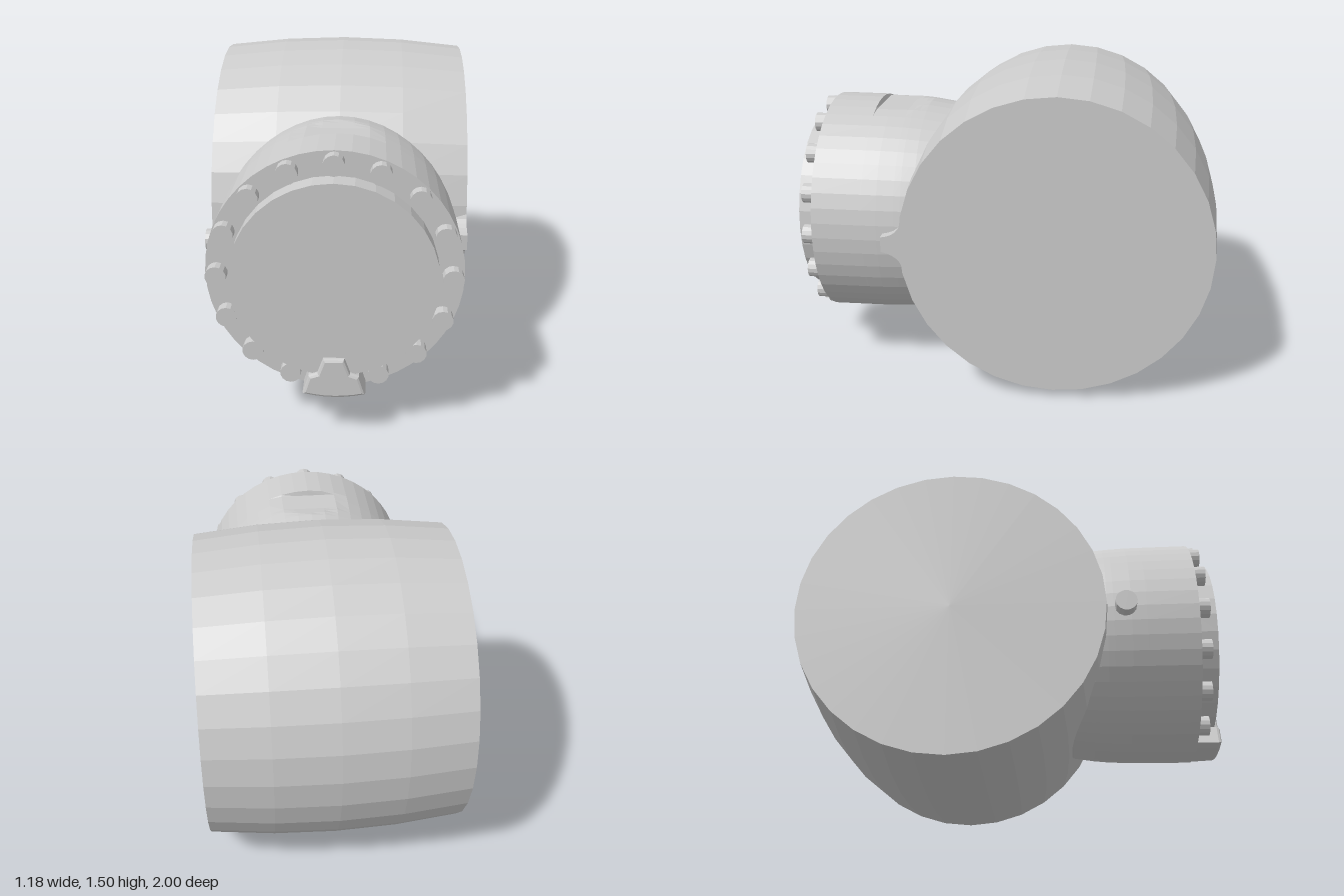
import * as THREE from 'three';

const CY = 0.755; // height of every main axis
const mat = new THREE.MeshStandardMaterial({ color: 0xcccccc, flatShading: true });

function add(parent, name, geometry) {
  const mesh = new THREE.Mesh(geometry, mat);
  mesh.name = name;
  parent.add(mesh);
  return mesh;
}

// Lathe around y from [radius, position] pairs
const lathe = (pairs, segments) =>
  new THREE.LatheGeometry(pairs.map(([r, p]) => new THREE.Vector2(r, p)), segments);

// Cylinder lying along z between two z values
function zCylinder(radius, z0, z1, segments) {
  return new THREE.CylinderGeometry(radius, radius, z1 - z0, segments)
    .rotateX(Math.PI / 2).translate(0, 0, (z0 + z1) / 2);
}

export function createModel() {
  const model = new THREE.Group();
  model.name = 'housing';
  const body = new THREE.Group();
  body.name = 'body';
  body.position.y = CY;
  model.add(body);

  // Bulging barrel across x with flat ends
  const barrel = lathe([
    [0, -0.585], [0.712, -0.585], [0.742, -0.29], [0.752, 0],
    [0.742, 0.29], [0.712, 0.585], [0, 0.585],
  ], 32).rotateZ(-Math.PI / 2).translate(0, 0, -0.245);
  add(body, 'barrel', barrel);

  // Neck towards the front, narrowing into the barrel
  const neck = lathe([
    [0, 0.1], [0.49, 0.1], [0.515, 0.31], [0.53, 0.41], [0.533, 0.44], [0.536, 0.47],
    [0.538, 0.5], [0.542, 0.58], [0.543, 0.65], [0.543, 0.655], [0.545, 0.885], [0, 0.885],
  ], 48).rotateX(Math.PI / 2);
  // Flat recess on top, with a sharp front step and a soft rear run-out
  const pos = neck.attributes.position;
  for (let i = 0; i < pos.count; i++) {
    const z = pos.getZ(i);
    if (z < 0.405 || z > 0.652) continue;
    const rise = THREE.MathUtils.clamp((0.5 - z) / 0.09, 0, 1);
    pos.setY(i, Math.min(pos.getY(i), 0.517 + 0.013 * rise));
  }
  neck.computeVertexNormals();
  add(body, 'neck', neck);

  // Front cover
  add(body, 'cover', zCylinder(0.438, 0.87, 0.978, 32));

  // Ring of bolts, leaving out the place of the latch at the bottom
  const bolts = new THREE.Group();
  bolts.name = 'bolts';
  body.add(bolts);
  for (let i = 0; i < 16; i++) {
    if (i === 8) continue;
    const a = (i * Math.PI) / 8;
    add(bolts, 'bolt', zCylinder(0.045, 0.875, 0.935, 14))
      .position.set(0.495 * Math.sin(a), 0.495 * Math.cos(a), 0);
  }

  // Latch at the bottom of the cover: wide foot with a narrow tongue
  const latch = new THREE.Shape();
  latch.moveTo(-0.135, 0.235 - CY);
  latch.quadraticCurveTo(0, 0.2 - CY, 0.135, 0.235 - CY);
  [[0.108, 0.322], [0.07, 0.335], [0.045, 0.405], [-0.045, 0.405], [-0.07, 0.335], [-0.108, 0.322]]
    .forEach(([x, y]) => latch.lineTo(x, y - CY));
  latch.closePath();
  add(body, 'latch', new THREE.ExtrudeGeometry(latch, {
    depth: 0.105, curveSegments: 6, bevelThickness: 0.015, bevelSize: 0.012,
    bevelOffset: -0.012, bevelSegments: 2,
  }).translate(0, 0, 0.88));

  // Pin on the right side of the neck
  add(body, 'sidePin', new THREE.CylinderGeometry(0.05, 0.05, 0.12, 14)
    .rotateZ(Math.PI / 2).translate(-0.535, 0, 0.555));

  // Filleted lug on the left rim of the barrel, drawn in z and y
  const lug = new THREE.Shape();
  lug.moveTo(0.35, 0.1);
  lug.lineTo(0.457, 0.1);
  lug.quadraticCurveTo(0.475, 0.045, 0.55, 0.036);
  lug.lineTo(0.55, -0.036);
  lug.quadraticCurveTo(0.475, -0.05, 0.457, -0.1);
  lug.lineTo(0.35, -0.1);
  lug.closePath();
  add(body, 'lug', new THREE.ExtrudeGeometry(lug, {
    depth: 0.2, curveSegments: 5, bevelEnabled: false,
  }).rotateY(-Math.PI / 2).translate(0.585, 0, 0));

  return model;
}
